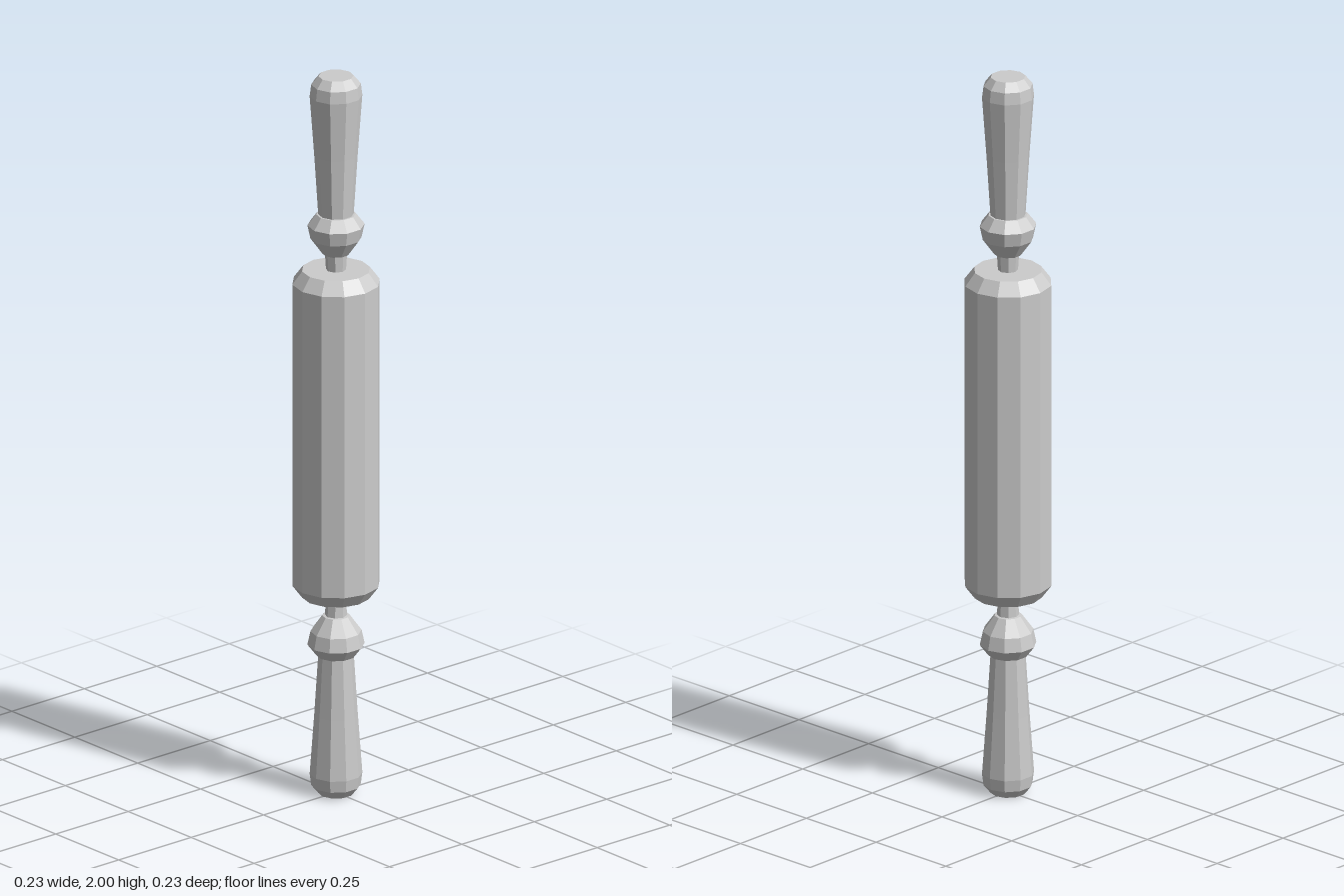
import * as THREE from 'three';

const material = new THREE.MeshStandardMaterial({ color: 0xcccccc, flatShading: true });

// Faceted turned part from [radius, height] pairs, listed bottom to top
function turned(name, profile, sides) {
  const points = profile.map(([r, y]) => new THREE.Vector2(r, y));
  const mesh = new THREE.Mesh(new THREE.LatheGeometry(points, sides), material);
  mesh.name = name;
  return mesh;
}

// One handle, with heights measured from the middle of the pin
function createHandle(name) {
  const handle = new THREE.Group();
  handle.name = name;
  handle.add(
    turned('axle', [[0, 0.44], [0.025, 0.44], [0.03, 0.52], [0, 0.52]], 8),
    turned('collar', [
      [0, 0.5], [0.036, 0.505], [0.067, 0.548], [0.075, 0.585], [0.052, 0.615], [0, 0.615],
    ], 10),
    turned('grip', [
      [0, 0.605], [0.046, 0.605], [0.057, 0.78], [0.069, 0.945], [0.065, 0.977], [0.046, 1], [0, 1],
    ], 10),
  );
  return handle;
}

export function createModel() {
  const pin = new THREE.Group();
  pin.name = 'rollingPin';

  // Main cylinder with chamfered ends
  const roller = turned('roller', [
    [0, 0.55], [0.09, 0.55], [0.116, 0.585], [0.116, 1.425], [0.09, 1.46], [0, 1.46],
  ], 12);

  // Matching handles at both ends
  const upper = createHandle('upperHandle');
  upper.position.y = 1;
  const lower = createHandle('lowerHandle');
  lower.position.y = 1;
  lower.rotation.z = Math.PI;

  pin.add(roller, upper, lower);
  return pin;
}
